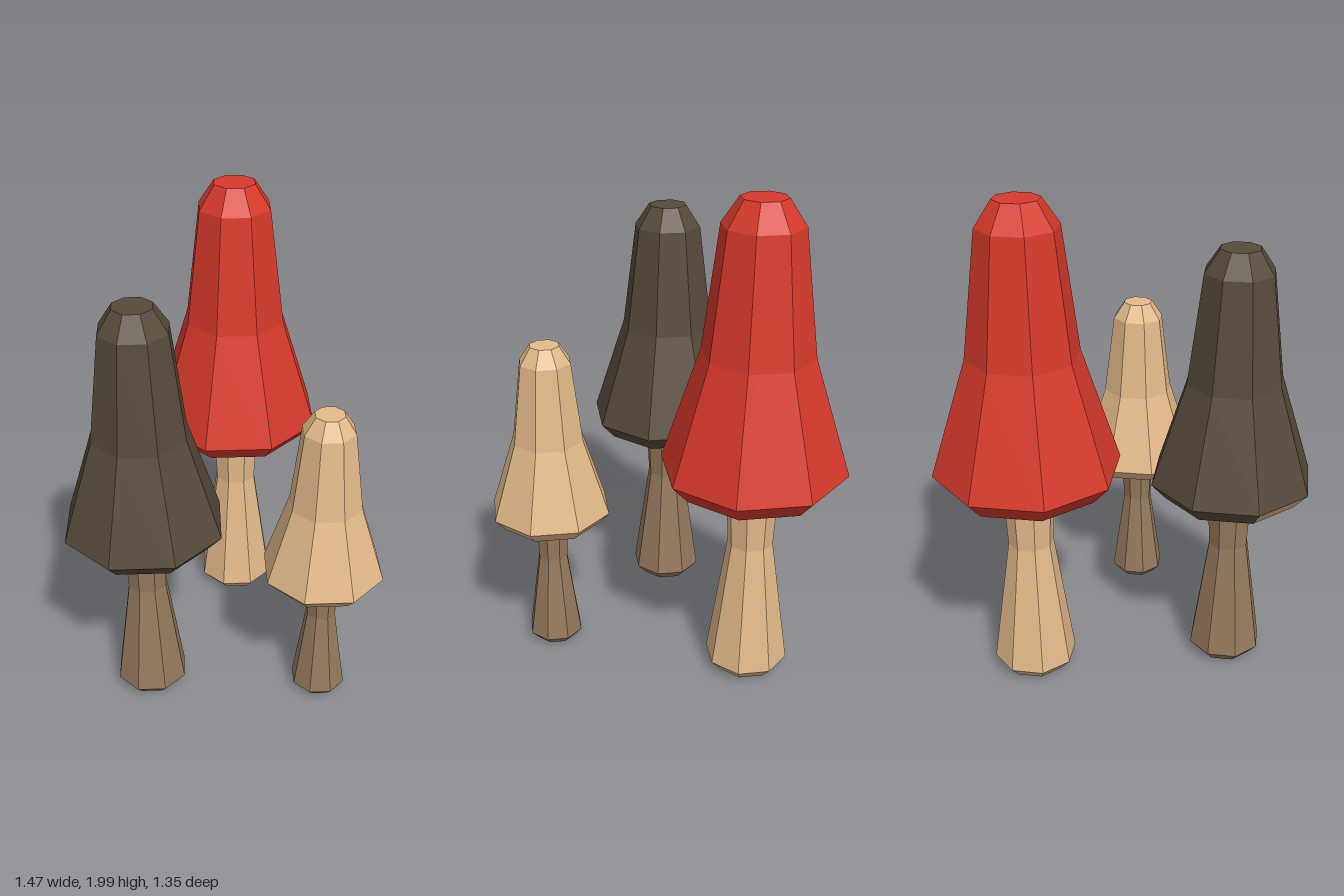
import * as THREE from 'three';

const SIDES = 8;
const TURN = THREE.MathUtils.degToRad(17);
const STEP = (Math.PI * 2) / SIDES;

const RED = 0xd8392b, DARK = 0x574a3a, TAN = 0xe5bb8b, BROWN = 0x967a5d;

// Profiles of a full-size mushroom as [radius, height], bottom to top
const STEM = [[0, 0.01], [0.125, 0.01], [0.17, 0.06], [0.092, 0.6], [0.106, 0.87], [0.106, 0.96]];
const GILLS = [[0.1, 0.95], [0.2, 0.93], [0.305, 0.865]];
const RIM = [[0.305, 0.865], [0.372, 0.94]];
const CAP = [[0.372, 0.94], [0.22, 1.41], [0.157, 1.9], [0.09, 2], [0, 2]];

// Faceted turned part; can cover only some of the eight sides
function turned(name, profile, color, first = 0, count = SIDES) {
  const points = profile.map(([r, y]) => new THREE.Vector2(r, y));
  const geometry = new THREE.LatheGeometry(points, count, TURN + first * STEP, count * STEP);
  const mesh = new THREE.Mesh(geometry, new THREE.MeshStandardMaterial({ color, flatShading: true }));
  mesh.name = name;
  return mesh;
}

function mushroom({ name, x, z, scale, cap, stem, paleRimSide }) {
  const group = new THREE.Group();
  group.name = name;
  group.add(
    turned('stem', STEM, stem),
    turned('gills', GILLS, TAN),
    turned('cap', CAP, cap)
  );
  if (paleRimSide === undefined) {
    group.add(turned('capRim', RIM, cap));
  } else {
    // One rim facet has the gill color
    group.add(
      turned('capRim', RIM, cap, paleRimSide + 1, SIDES - 1),
      turned('paleRimFacet', RIM, TAN, paleRimSide, 1)
    );
  }
  group.position.set(x, 0, z);
  group.scale.setScalar(scale);
  return group;
}

export function createModel() {
  const model = new THREE.Group();
  model.name = 'mushrooms';
  model.add(
    mushroom({ name: 'redMushroom', x: 0.38, z: -0.32, scale: 1, cap: RED, stem: TAN }),
    mushroom({ name: 'darkMushroom', x: -0.42, z: -0.175, scale: 0.895, cap: DARK, stem: BROWN, paleRimSide: 4 }),
    mushroom({ name: 'tanMushroom', x: -0.015, z: 0.427, scale: 0.682, cap: TAN, stem: BROWN })
  );
  return model;
}
